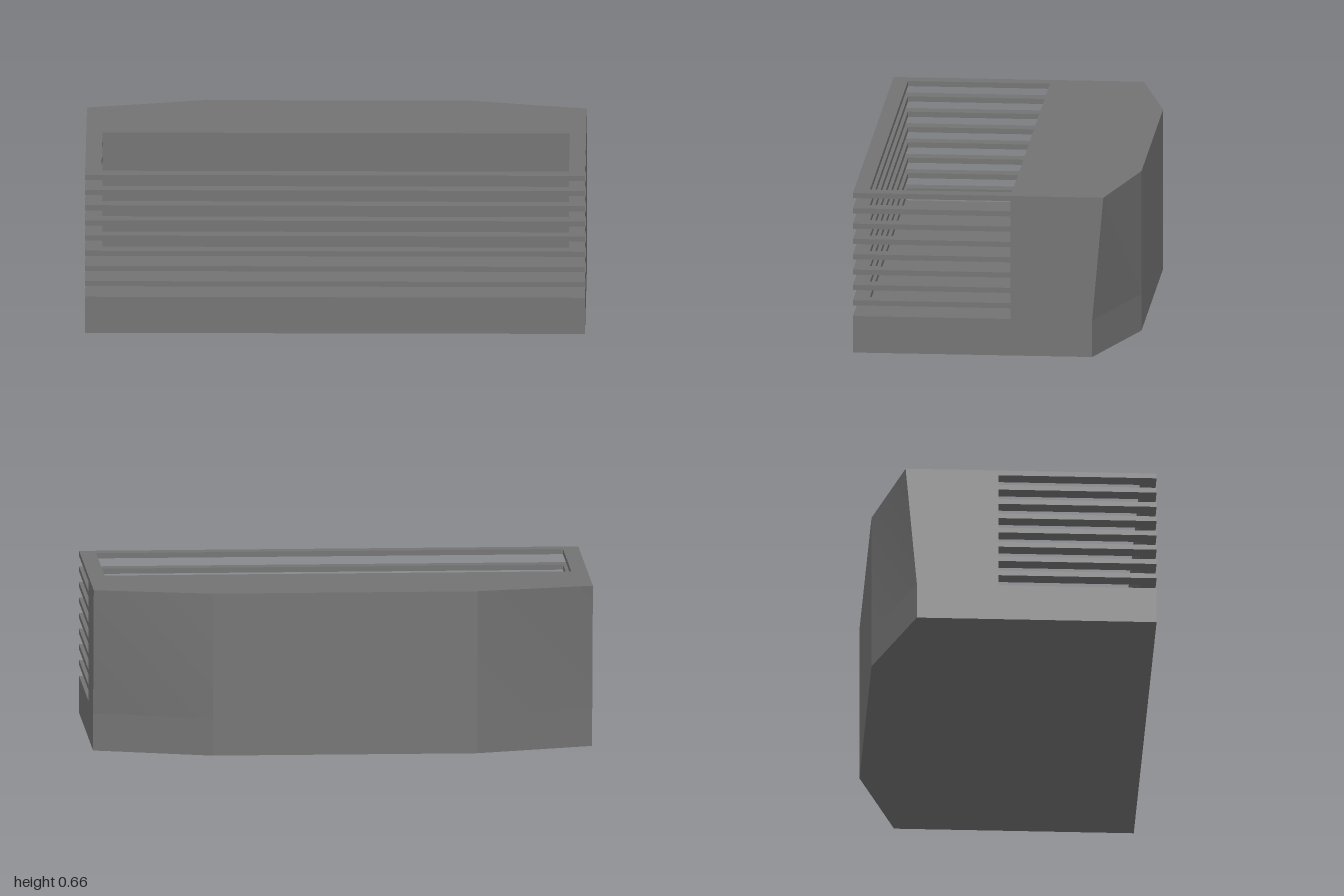
import * as THREE from 'three';
import { toCreasedNormals } from 'three/addons/utils/BufferGeometryUtils.js';

const material = new THREE.MeshStandardMaterial({ color: 0x737373 });
const BASE_TOP = 0.15, TOP = 0.656, FRONT = 0.56, BACK = -0.56;
const CORNER = -0.4, TOP_CORNER = -0.445; // side edge of the back chamfer, low and high
const WALL = -0.073; // front face of the solid rear block

// Horizontal slab from an [x, z] outline, standing on y0
function slab(name, outline, y0, y1) {
  const shape = new THREE.Shape(outline.map(([x, z]) => new THREE.Vector2(x, -z)));
  const geometry = new THREE.ExtrudeGeometry(shape, { depth: y1 - y0, bevelEnabled: false });
  geometry.rotateX(-Math.PI / 2).translate(0, y0, 0);
  const mesh = new THREE.Mesh(geometry, material);
  mesh.name = name;
  return mesh;
}

// Footprint with chamfered back corners and a chosen front edge
const footprint = (front) => [
  [-1, front], [1, front], [1, CORNER], [0.53, BACK], [-0.53, BACK], [-1, CORNER],
];

export function createModel() {
  const group = new THREE.Group();
  group.name = 'slattedBox';

  group.add(slab('base', footprint(FRONT), 0, BASE_TOP));

  // Rear block: its side edges lean backwards towards the top
  const block = slab('rearBlock', footprint(WALL), BASE_TOP, TOP);
  const p = block.geometry.attributes.position;
  for (let i = 0; i < p.count; i++) {
    if (Math.abs(p.getX(i)) > 0.9 && p.getZ(i) < -0.3 && p.getY(i) > 0.4) p.setZ(i, TOP_CORNER);
  }
  // Smooth only across each slightly twisted chamfer
  block.geometry = toCreasedNormals(block.geometry, 0.17);
  group.add(block);

  // U-shaped slats around the open front bay
  const inX = 0.935, inZ = 0.497;
  const rail = [
    [-1, WALL], [-1, FRONT], [1, FRONT], [1, WALL],
    [inX, WALL], [inX, inZ], [-inX, inZ], [-inX, WALL],
  ];
  for (let i = 0; i < 8; i++) {
    const top = TOP - i * 0.063;
    group.add(slab(`slat${i + 1}`, rail, top - 0.021, top));
  }
  return group;
}
